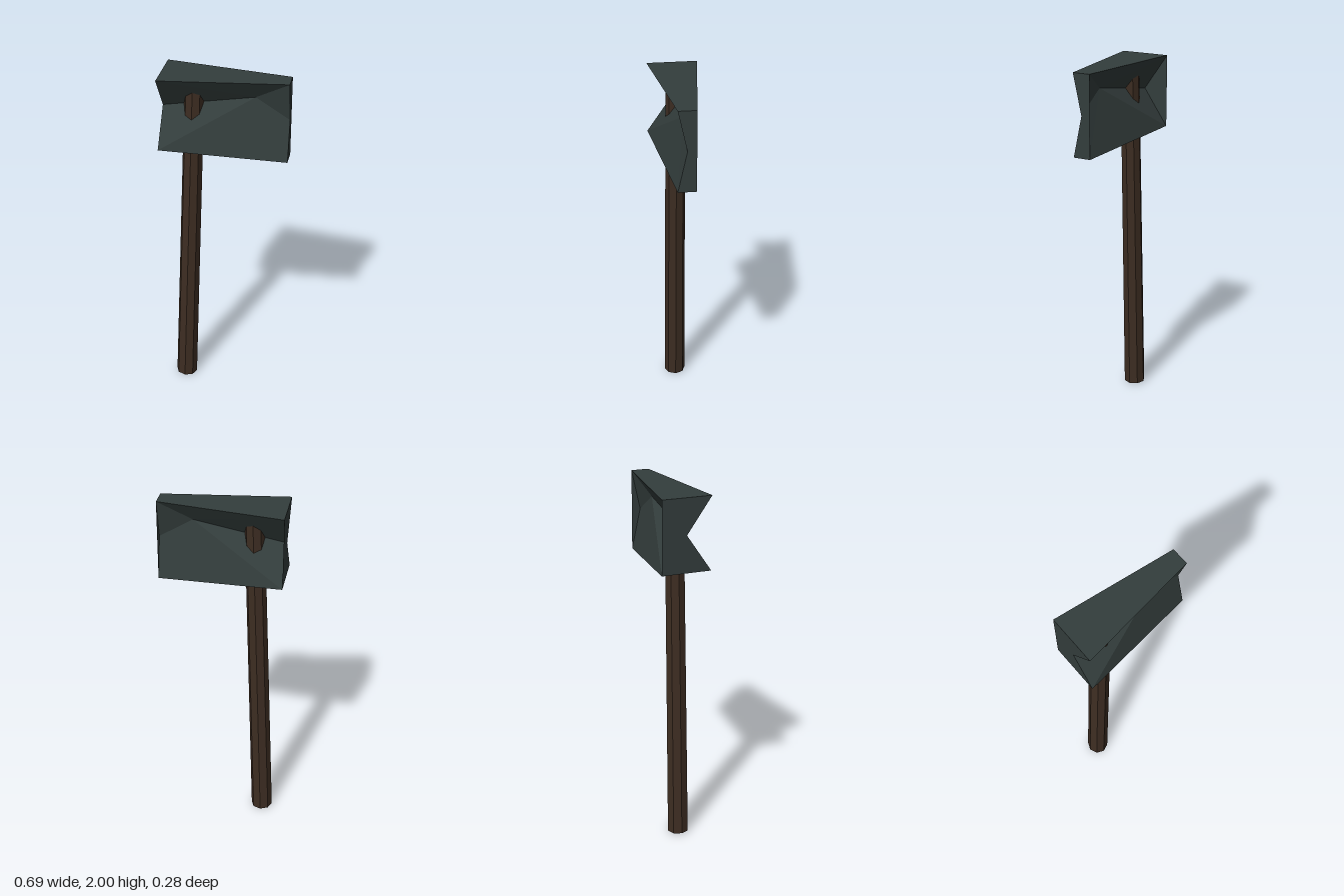
import * as THREE from 'three';

const iron = new THREE.MeshStandardMaterial({ color: 0x333d3c, side: THREE.DoubleSide, flatShading: true });
iron.name = 'darkIron';
const wood = new THREE.MeshStandardMaterial({ color: 0x3d2d22, flatShading: true });
wood.name = 'darkWood';

// Flat-faced geometry from convex corner loops, each fanned into triangles
function facets(loops) {
  const pos = [];
  for (const loop of loops)
    for (let i = 1; i < loop.length - 1; i++)
      for (const p of [loop[0], loop[i], loop[i + 1]]) pos.push(...p);
  const geo = new THREE.BufferGeometry();
  geo.setAttribute('position', new THREE.Float32BufferAttribute(pos, 3));
  geo.computeVertexNormals();
  return geo;
}

// Tapered head, pinched along a bent crease on both sides
function makeHead() {
  const ends = [
    { x: -0.345, z: 0.14, bottom: 1.595, mid: 1.8 },
    { x: 0.345, z: 0.05, bottom: 1.545, mid: 1.775 },
  ];
  const peak = [0.16, 1.89, 0];
  const [a, b] = ends.map(({ x, z, bottom, mid }) => ({
    m: [x, mid, 0],
    t: { 1: [x, 2, z], '-1': [x, 2, -z] },
    b: { 1: [x, bottom, z], '-1': [x, bottom, -z] },
  }));
  const loops = [];
  // Front and back faces above and below the crease
  for (const s of [1, -1]) {
    const side = [
      [a.t[s], a.m, peak], [a.t[s], peak, b.t[s]], [b.t[s], peak, b.m],
      [a.b[s], b.b[s], peak], [a.b[s], peak, a.m], [b.b[s], b.m, peak],
    ];
    loops.push(...side.map((l) => (s > 0 ? l : l.reverse())));
  }
  // End faces: notched at the front, closed at the back
  [a, b].forEach((e, i) => {
    const cap = [[e.t[1], e.t[-1], e.m], [e.b[1], e.m, e.b[-1]], [e.t[-1], e.b[-1], e.m]];
    loops.push(...cap.map((l) => (i === 0 ? l : l.reverse())));
  });
  // Top and bottom
  loops.push([a.t[1], b.t[1], b.t[-1], a.t[-1]]);
  loops.push([a.b[-1], b.b[-1], b.b[1], a.b[1]]);
  const head = new THREE.Mesh(facets(loops), iron);
  head.name = 'head';
  return head;
}

// Slightly leaning eight-sided shaft that shows through the head's pinch
function makeHandle() {
  const from = new THREE.Vector3(-0.245, 0.003, 0);
  const to = new THREE.Vector3(-0.169, 1.94, 0);
  const dir = to.clone().sub(from);
  const handle = new THREE.Mesh(new THREE.CylinderGeometry(0.054, 0.062, dir.length(), 8), wood);
  handle.position.copy(from).add(to).multiplyScalar(0.5);
  handle.quaternion.setFromUnitVectors(new THREE.Vector3(0, 1, 0), dir.normalize());
  handle.name = 'handle';
  return handle;
}

export function createModel() {
  const model = new THREE.Group();
  model.name = 'hammer';
  model.add(makeHead(), makeHandle());
  return model;
}
